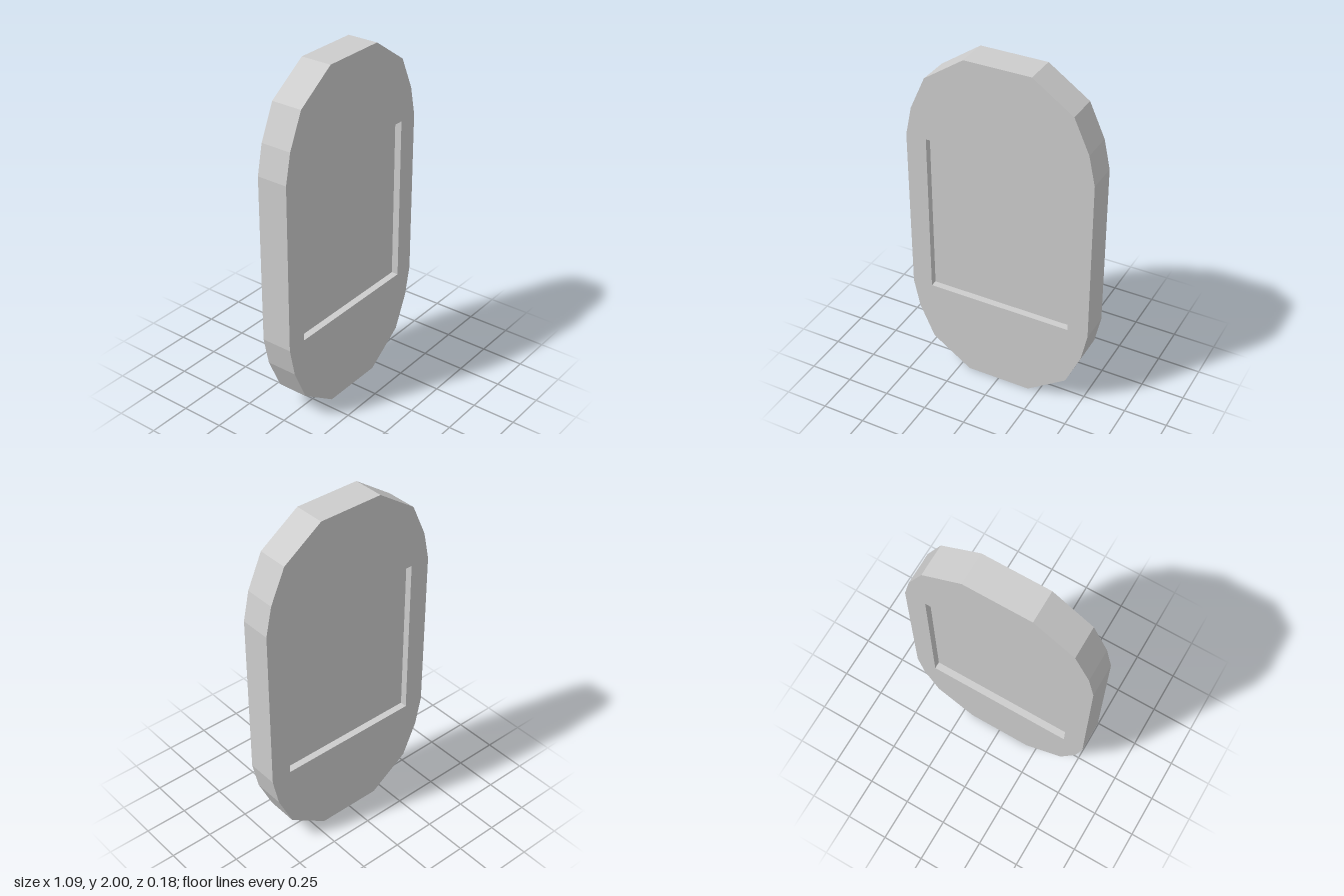
import * as THREE from 'three';

const HALF_DEPTH = 0.09, RECESS = 0.04;
const PANEL = { x: 0.424, bottom: 0.523, top: 1.482 };

// One quarter of the outline, from the straight side up to the flat top
const QUARTER = [[0.543, 1.482], [0.507, 1.65], [0.42, 1.842], [0.19, 2]];

export function createModel() {
  const group = new THREE.Group();
  group.name = 'recessedPlaque';
  const grey = new THREE.MeshStandardMaterial({ color: 0xcccccc, flatShading: true });
  grey.name = 'lightGrey';

  const add = (name, geometry) => {
    const mesh = new THREE.Mesh(geometry, grey);
    mesh.name = name;
    group.add(mesh);
    return mesh;
  };

  // Faceted oval frame, mirrored left to right and top to bottom
  const upper = [...QUARTER, ...QUARTER.map(([x, y]) => [-x, y]).reverse()];
  const lower = upper.map(([x, y]) => [-x, 2 - y]);
  const outline = new THREE.Shape([...upper, ...lower].map(([x, y]) => new THREE.Vector2(x, y)));

  // Rectangular opening
  const { x, bottom, top } = PANEL;
  outline.holes.push(new THREE.Path([
    new THREE.Vector2(-x, bottom), new THREE.Vector2(-x, top),
    new THREE.Vector2(x, top), new THREE.Vector2(x, bottom),
  ]));
  const frame = new THREE.ExtrudeGeometry(outline, { depth: HALF_DEPTH * 2, bevelEnabled: false });
  frame.translate(0, 0, -HALF_DEPTH);
  add('frame', frame);

  // Recessed floors on the front and the back
  for (const side of [1, -1]) {
    const floor = add(side > 0 ? 'frontPanel' : 'backPanel', new THREE.PlaneGeometry(2 * x, top - bottom));
    floor.position.set(0, (top + bottom) / 2, side * (HALF_DEPTH - RECESS));
    if (side < 0) floor.rotation.y = Math.PI;
  }
  return group;
}
